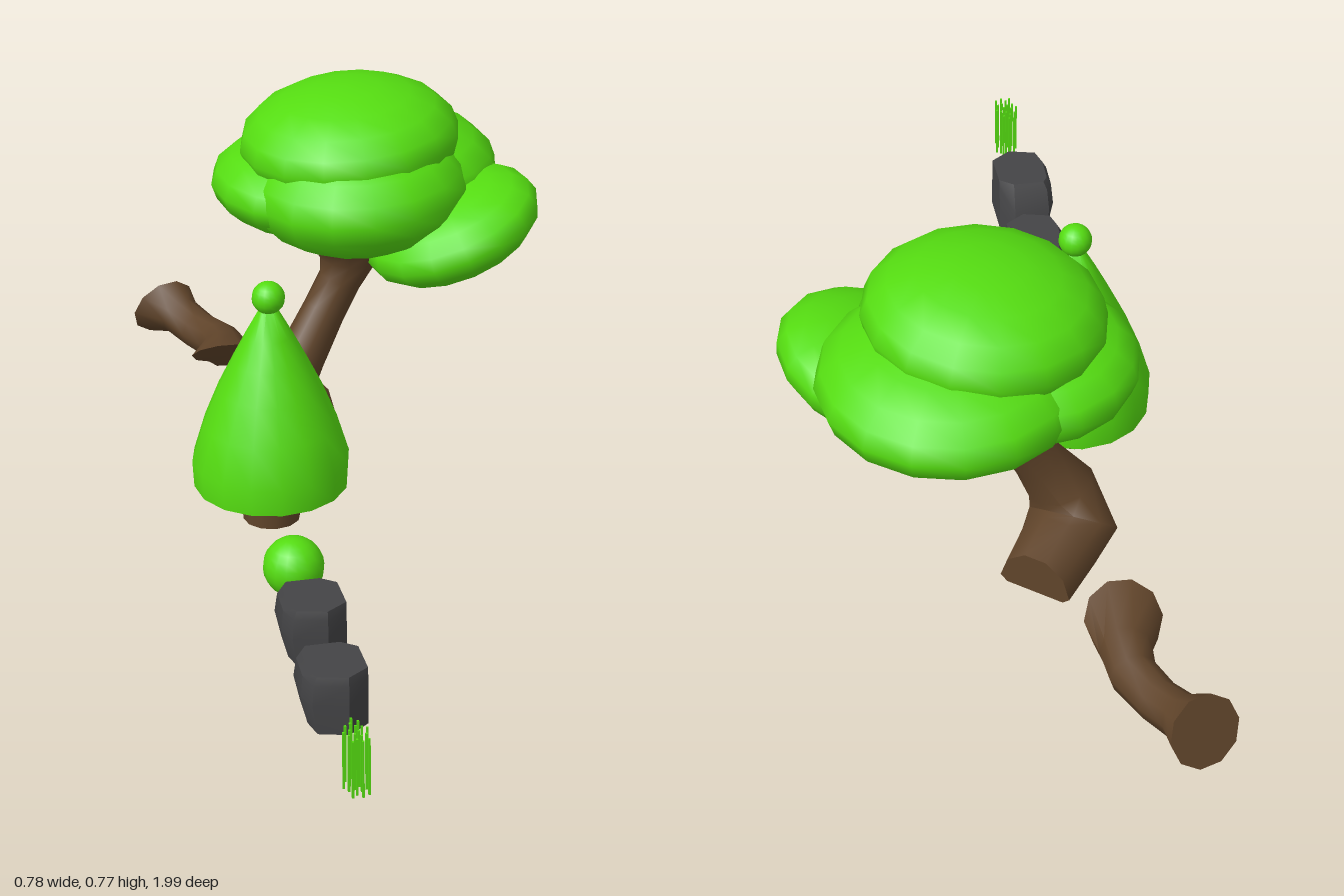
import * as THREE from 'three';
import { toCreasedNormals } from 'three/addons/utils/BufferGeometryUtils.js';
import { ConvexGeometry } from 'three/addons/geometries/ConvexGeometry.js';

const FLOOR = 0.018;
const paint = (color) => new THREE.MeshStandardMaterial({ color });
const leaf = paint(0x55dd11), bark = paint(0x60442a), stone = paint(0x444446);

function add(parent, name, geometry, material, x = 0, y = 0, z = 0) {
  const mesh = new THREE.Mesh(geometry, material);
  mesh.name = name;
  mesh.position.set(x, y, z);
  parent.add(mesh);
  return mesh;
}

function addGroup(parent, name, x = 0, y = 0, z = 0) {
  const group = new THREE.Group();
  group.name = name;
  group.position.set(x, y, z);
  parent.add(group);
  return group;
}

// Limb lofted through discs: [x, y, z, radius, normal x, normal y, normal z]
function limb(rings, floor, sides = 10) {
  const positions = [], index = [];
  const normal = new THREE.Vector3(0, 0, 1), next = new THREE.Vector3();
  const turn = new THREE.Quaternion(), step = new THREE.Quaternion();
  const p = new THREE.Vector3();
  rings.forEach(([x, y, z, r, nx, ny, nz], i) => {
    next.set(nx, ny, nz).normalize();
    turn.premultiply(step.setFromUnitVectors(normal, next));
    normal.copy(next);
    for (let j = 0; j < sides; j++) {
      const a = (j / sides) * Math.PI * 2;
      p.set(Math.cos(a) * r, Math.sin(a) * r, 0).applyQuaternion(turn);
      positions.push(x + p.x, Math.max(floor, y + p.y), z + p.z);
      if (i === 0) continue;
      const k = (j + 1) % sides, low = (i - 1) * sides, high = i * sides;
      index.push(low + j, low + k, high + k, low + j, high + k, high + j);
    }
  });
  // End caps
  const last = (rings.length - 1) * sides;
  for (let j = 1; j < sides - 1; j++) {
    index.push(0, j + 1, j, last, last + j, last + j + 1);
  }
  const geometry = new THREE.BufferGeometry();
  geometry.setAttribute('position', new THREE.Float32BufferAttribute(positions, 3));
  geometry.setIndex(index);
  return toCreasedNormals(geometry, 0.9);
}

// Leaning tree with cushion-like foliage
function bigTree(parent) {
  const tree = addGroup(parent, 'leaningTree');
  add(tree, 'bentTrunk', limb([
    [-0.08, 0.03, -0.51, 0.075, -0.6, 0, 0.8],
    [-0.135, 0.05, -0.43, 0.082, -0.6, 0.1, 0.8],
    [-0.175, 0.07, -0.365, 0.092, -0.3, 0.7, 0.6],
    [-0.15, 0.15, -0.35, 0.066, 0.3, 1, 0],
    [-0.105, 0.22, -0.355, 0.05, 0.5, 0.9, -0.1],
    [-0.055, 0.31, -0.375, 0.045, 0.5, 0.85, -0.15],
    [-0.02, 0.37, -0.39, 0.045, 0.4, 0.9, -0.1],
    [0, 0.415, -0.4, 0.06, 0.1, 1, 0],
    [0, 0.445, -0.4, 0.075, 0, 1, 0],
  ], FLOOR), bark);
  // name, centre, radii, tilt
  const clumps = [
    ['topFoliage', [0.013, 0.66, -0.455], [0.228, 0.115, 0.228], 0.08],
    ['frontFoliage', [0.02, 0.575, -0.4], [0.228, 0.13, 0.23], 0.04],
    ['rightFoliage', [-0.05, 0.565, -0.475], [0.222, 0.1, 0.225], 0],
    ['backFoliage', [0.085, 0.57, -0.52], [0.247, 0.112, 0.255], 0],
    ['leftFoliage', [0.208, 0.49, -0.36], [0.19, 0.09, 0.195], 0.36],
  ];
  for (const [name, centre, radii, tilt] of clumps) {
    const mesh = add(tree, name, new THREE.SphereGeometry(1, 16, 10), leaf, ...centre);
    mesh.scale.set(...radii);
    mesh.rotation.z = tilt;
  }
}

// Cone-shaped tree with a ball on its tip
function conifer(parent) {
  const tree = addGroup(parent, 'coneTree', -0.217, 0, -0.045);
  const skirt = [[0, 0.1], [0.155, 0.1], [0.158, 0.155], [0.134, 0.235], [0.104, 0.31],
    [0.075, 0.37], [0.047, 0.425], [0.02, 0.475], [0, 0.49]];
  const profile = skirt.map(([r, y]) => new THREE.Vector2(r, y));
  add(tree, 'coneFoliage', toCreasedNormals(new THREE.LatheGeometry(profile, 16), 0.8), leaf);
  add(tree, 'tipBall', new THREE.SphereGeometry(0.033, 16, 12), leaf, 0, 0.503, 0);
  add(tree, 'trunk', new THREE.CylinderGeometry(0.058, 0.058, 0.09, 12), bark, 0, FLOOR + 0.045, 0);
}

function bush(parent) {
  const plant = addGroup(parent, 'roundBush', -0.217, 0, 0.25);
  add(plant, 'ballFoliage', new THREE.SphereGeometry(0.06, 16, 12), leaf, 0, 0.067, 0);
  add(plant, 'stem', new THREE.CylinderGeometry(0.037, 0.037, 0.03, 12), bark, 0, FLOOR + 0.015, 0);
}

// Faceted stone: three outlines, each trimmed to lean the back face
function rock() {
  const outline = [[-0.05, -0.08], [0.025, -0.085], [0.055, -0.05], [0.06, 0.05],
    [0.02, 0.083], [-0.045, 0.07], [-0.06, 0.03], [-0.062, -0.05]];
  const layers = [[FLOOR, 0.8, 1, 1], [0.075, 1, 0.9, 1], [0.118, 0.94, 0.68, 0.98], [0.134, 0.8, 0.58, 0.92]];
  const points = [];
  for (const [y, width, back, front] of layers) {
    for (const [x, z] of outline) {
      points.push(new THREE.Vector3(x < 0 ? x * width : x, y, z * (z < 0 ? back : front)));
    }
  }
  return toCreasedNormals(new ConvexGeometry(points), 0.4);
}

// Tuft of thin upright blades
function grass(parent) {
  const tuft = addGroup(parent, 'grassTuft', -0.213, FLOOR + 0.057, 0.953);
  const blade = new THREE.BoxGeometry(0.004, 0.115, 0.004);
  const count = 18;
  for (let i = 0; i < count; i++) {
    const r = Math.sqrt((i + 0.5) / count), a = i * 2.4;
    add(tuft, 'grassBlade', blade, leaf, Math.cos(a) * r * 0.024, 0, Math.sin(a) * r * 0.046);
  }
}

export function createModel() {
  const model = new THREE.Group();
  model.name = 'natureSet';
  bigTree(model);
  conifer(model);
  bush(model);

  // Fallen log with flared, slanted ends
  add(model, 'fallenLog', limb([
    [-0.225, 0.082, -0.67, 0.075, 0, 0.77, -0.64],
    [-0.22, 0.062, -0.735, 0.05, 0.05, 0.2, -1],
    [-0.225, 0.053, -0.79, 0.046, -0.2, 0, -1],
    [-0.26, 0.05, -0.86, 0.043, -0.4, 0.1, -0.9],
    [-0.295, 0.062, -0.92, 0.045, -0.4, 0.3, -0.9],
    [-0.328, 0.067, -0.966, 0.073, -0.35, 0.35, -0.87],
  ], 0), bark);

  // Two rocks in a row
  const rockGeometry = rock();
  for (const z of [0.47, 0.705]) add(model, 'rock', rockGeometry, stone, -0.218, 0, z);
  grass(model);
  return model;
}
